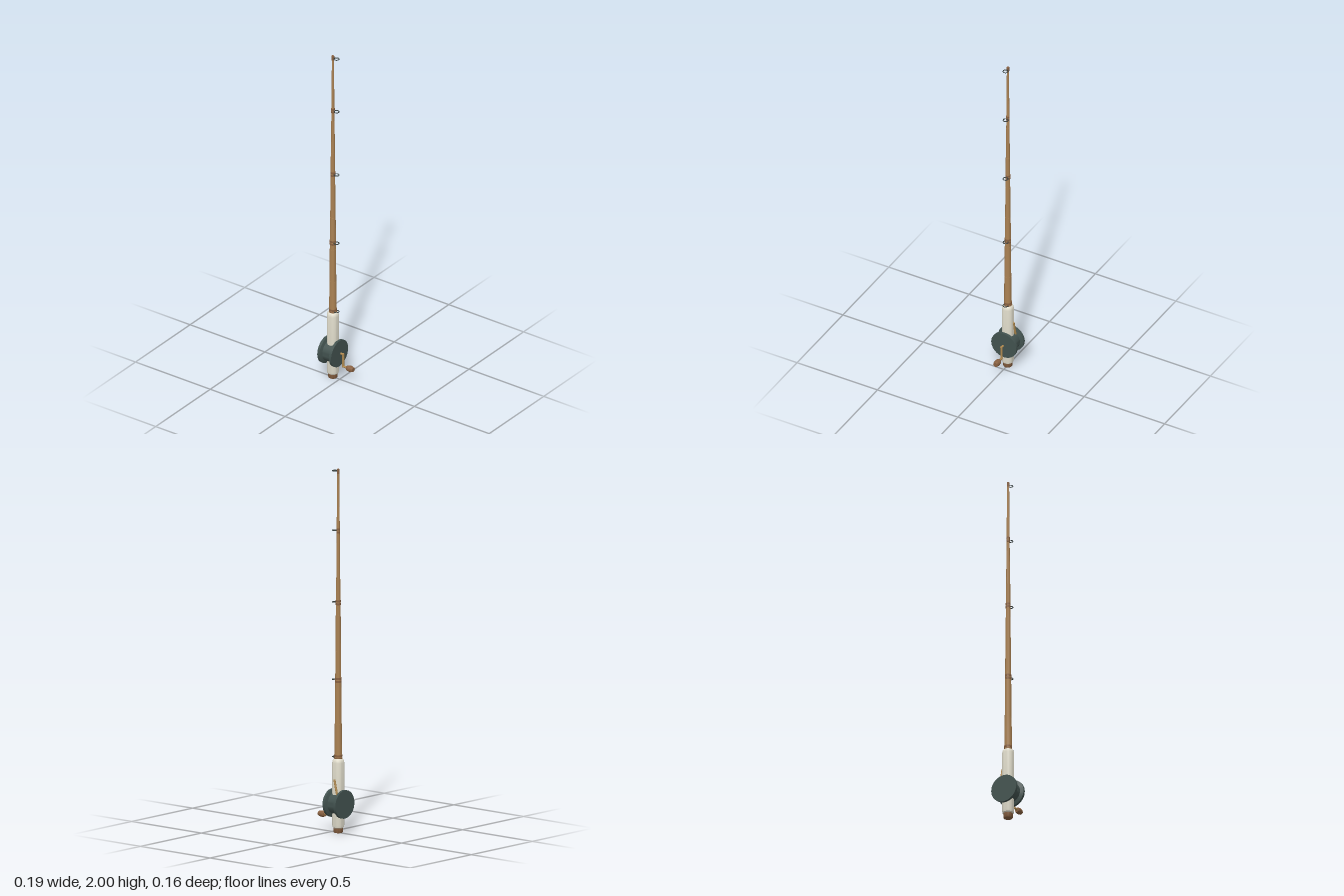
import * as THREE from 'three';
import { toCreasedNormals } from 'three/addons/utils/BufferGeometryUtils.js';

const mat = (color) => new THREE.MeshStandardMaterial({ color });
const wood = mat(0xab8253), brown = mat(0x8a6242), cream = mat(0xe0dccb);
const teal = mat(0x42524f), brass = mat(0xb08a50), dark = mat(0x333d3c);
const AXIS = -0.045; // x of the rod's centre line

export function createModel() {
  const group = new THREE.Group();

  const add = (parent, name, geometry, material, x = 0, y = 0, z = 0) => {
    const mesh = new THREE.Mesh(geometry, material);
    mesh.name = name;
    mesh.position.set(x, y, z);
    parent.add(mesh);
    return mesh;
  };
  // Turned part from [radius, height] pairs
  const turned = (profile, sides = 24) => toCreasedNormals(
    new THREE.LatheGeometry(profile.map(([r, y]) => new THREE.Vector2(r, y)), sides), 0.6);
  // Round bar between two points
  const bar = (parent, name, a, b, radius, material) => {
    const from = new THREE.Vector3(...a), to = new THREE.Vector3(...b);
    const dir = to.clone().sub(from);
    const mesh = add(parent, name, new THREE.CylinderGeometry(radius, radius, dir.length(), 12), material);
    mesh.position.copy(from).add(to).multiplyScalar(0.5);
    mesh.quaternion.setFromUnitVectors(new THREE.Vector3(0, 1, 0), dir.normalize());
    return mesh;
  };

  // Butt cap and grip
  add(group, 'buttCap', turned([[0, 0], [0.023, 0], [0.026, 0.005], [0.026, 0.035], [0, 0.035]]), brown, AXIS);
  add(group, 'grip', turned([[0, 0.026], [0.026, 0.026], [0.031, 0.031], [0.033, 0.042],
    [0.033, 0.385], [0.031, 0.397], [0.026, 0.405], [0.018, 0.41], [0, 0.41]]), cream, AXIS);

  // Tapering rod in short stepped sections
  const steps = 8, base = 0.4, top = 1.99;
  const rodRadius = (y) => 0.0205 - 0.0155 * (y - base) / (top - base);
  const profile = [[0, base]];
  for (let i = 0; i < steps; i++) {
    const y0 = base + (top - base) * i / steps, y1 = base + (top - base) * (i + 1) / steps;
    profile.push([rodRadius(y0), y0], [rodRadius(y1) + 0.0008, y1]);
  }
  profile.push([0, top]);
  add(group, 'rod', turned(profile, 16), wood, AXIS);
  add(group, 'rodTip', new THREE.CylinderGeometry(0.0075, 0.0075, 0.026, 12), brown, AXIS, 1.987);

  // Line guides: a flat ring beside the rod, held by two bindings
  for (const y of [0.415, 0.84, 1.266, 1.66, 1.988]) {
    const guide = new THREE.Group();
    guide.name = 'lineGuide';
    guide.position.set(AXIS, y, 0);
    group.add(guide);
    const ring = add(guide, 'guideRing', new THREE.TorusGeometry(0.0135, 0.0025, 8, 24), dark, 0.0245);
    ring.rotation.x = Math.PI / 2;
    if (y < 1.9) {
      const r = rodRadius(y) + 0.002;
      for (const dy of [-0.008, 0.008]) {
        add(guide, 'binding', new THREE.CylinderGeometry(r, r, 0.011, 16), brown, 0, dy);
      }
    }
  }

  // Reel: flanged spool lying along x
  const reel = new THREE.Group();
  reel.name = 'reel';
  reel.position.set(-0.0465, 0.16, 0);
  group.add(reel);
  const half = [[0, -0.0465], [0.078, -0.0465], [0.078, -0.032], [0.06, -0.0255]];
  const spool = add(reel, 'spool',
    turned([...half, ...half.slice().reverse().map(([r, y]) => [r, -y])], 40), teal);
  spool.rotation.z = -Math.PI / 2;

  // Crank with barrel-shaped knob
  const crank = new THREE.Group();
  crank.name = 'crank';
  group.add(crank);
  bar(crank, 'crankAxle', [0.008, 0.163, 0], [0.029, 0.163, 0], 0.006, brass);
  bar(crank, 'crankArm', [0.024, 0.168, 0], [0.024, 0.084, 0], 0.006, brass);
  bar(crank, 'knobAxle', [0.019, 0.089, 0], [0.054, 0.089, 0], 0.006, brass);
  const knob = add(crank, 'knob', turned([[0, -0.021], [0.013, -0.021], [0.0165, -0.01],
    [0.0175, 0], [0.0165, 0.01], [0.013, 0.021], [0, 0.021]], 20), brown, 0.071, 0.089);
  knob.rotation.z = -Math.PI / 2;

  // Release lever leaning behind the grip
  bar(group, 'releaseLever', [-0.072, 0.19, -0.034], [-0.047, 0.297, -0.034], 0.006, brass);

  return group;
}
